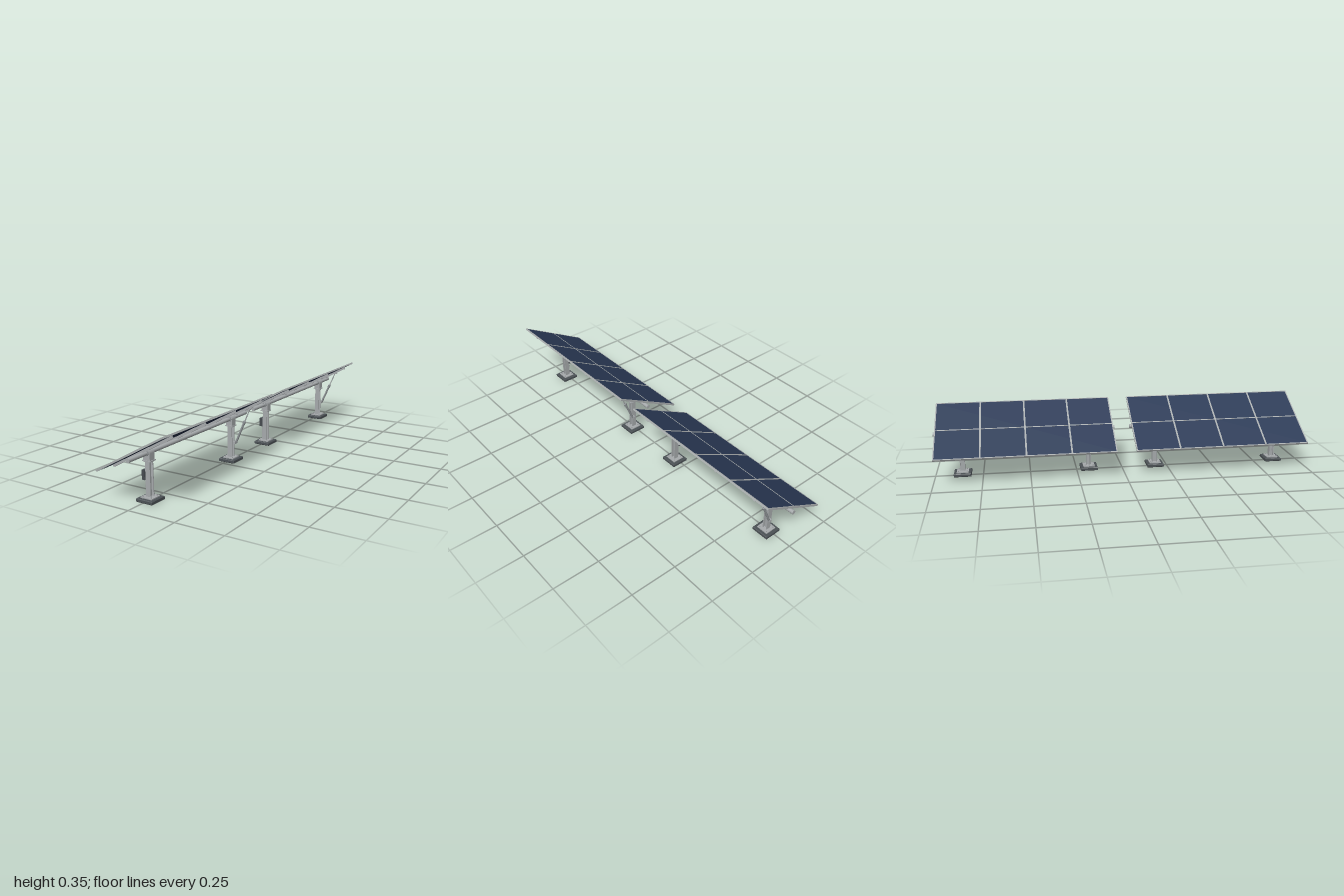
import * as THREE from 'three';

const mat = (name, color) => new THREE.MeshStandardMaterial({ name, color });

export function createModel() {
  const steel = mat('galvanised steel', 0xa6aaac);
  const frameGrey = mat('frame aluminium', 0xa9adae);
  const glass = mat('solar glass', 0x2b3a56);
  const back = mat('back sheet', 0x242e46);
  const darkSteel = mat('actuator grey', 0x8f9497);
  const footing = mat('footing grey', 0x4b5155);
  const boxGrey = mat('control box grey', 0x464b50);

  const add = (parent, name, geo, material, x = 0, y = 0, z = 0) => {
    const m = new THREE.Mesh(geo, material);
    m.name = name;
    m.position.set(x, y, z);
    parent.add(m);
    return m;
  };
  const box = (parent, name, material, w, h, d, x, y, z) =>
    add(parent, name, new THREE.BoxGeometry(w, h, d), material, x, y, z);
  const cyl = (r, h, n = 20) => new THREE.CylinderGeometry(r, r, h, n);
  // Cylinder between two points
  const rod = (parent, name, material, a, b, r) => {
    const dir = b.clone().sub(a);
    const m = add(parent, name, cyl(r, dir.length()), material);
    m.position.copy(a).lerp(b, 0.5);
    m.quaternion.setFromUnitVectors(new THREE.Vector3(0, 1, 0), dir.normalize());
    return m;
  };

  const AXIS_Y = 0.229, TILT = THREE.MathUtils.degToRad(29);

  // Tilted table: modules, frame and rails, pivoting on the torque tube
  function makeTable() {
    const g = new THREE.Group();
    g.name = 'panelTable';
    const W = 0.422, L = 0.94, T = 0.009, rim = 0.006, y = 0.022;
    box(g, 'backSheet', back, W - 2 * rim, 0.004, L - 2 * rim, 0, y - 0.002, 0);
    box(g, 'glass', glass, W - 2 * rim, 0.0035, L - 2 * rim, 0, y + 0.0018, 0);
    for (const s of [-1, 1]) {
      box(g, 'frameLong', frameGrey, rim, T, L, s * (W - rim) / 2, y, 0);
      box(g, 'frameShort', frameGrey, W - 2 * rim, T, rim, 0, y, s * (L - rim) / 2);
    }
    // Seams between the modules
    box(g, 'seamLong', frameGrey, 0.006, 0.002, L - 2 * rim, 0, y + 0.0035, 0);
    for (const k of [-1, 0, 1])
      box(g, 'seamCross', frameGrey, W - 2 * rim, 0.002, 0.009, 0, y + 0.0035, k * 0.2345);
    for (const z of [-0.375, -0.127, 0.127, 0.375])
      box(g, 'rail', steel, 0.381, 0.0125, 0.013, 0, y - 0.0098, z);
    g.rotation.z = TILT;
    return g;
  }

  // Arch-topped bearing housing outline
  const arch = new THREE.Shape();
  arch.moveTo(-0.0185, -0.035);
  arch.lineTo(0.0185, -0.035);
  arch.lineTo(0.0185, 0);
  arch.absarc(0, 0, 0.0185, 0, Math.PI, false);
  arch.lineTo(-0.0185, -0.035);
  const bearingGeo = new THREE.ExtrudeGeometry(arch, { depth: 0.034, bevelEnabled: false, curveSegments: 16 });
  bearingGeo.translate(0, 0, -0.017);

  // Square footing with a bevelled edge
  const s = 0.043;
  const square = new THREE.Shape([[-s, -s], [s, -s], [s, s], [-s, s]].map(p => new THREE.Vector2(...p)));
  const footGeo = new THREE.ExtrudeGeometry(square, {
    depth: 0.0115, bevelThickness: 0.003, bevelSize: 0.003, bevelSegments: 1,
  });
  footGeo.rotateX(-Math.PI / 2);
  footGeo.translate(0, 0.003, 0);

  function makePost() {
    const g = new THREE.Group();
    g.name = 'post';
    add(g, 'footing', footGeo, footing);
    box(g, 'basePlate', steel, 0.062, 0.005, 0.062, 0, 0.02, 0);
    for (const x of [-1, 1]) for (const z of [-1, 1])
      add(g, 'bolt', cyl(0.003, 0.007, 6), steel, x * 0.022, 0.0255, z * 0.022);
    // H-section column
    for (const k of [-1, 1])
      box(g, 'flange', steel, 0.026, 0.168, 0.004, 0, 0.105, k * 0.011);
    box(g, 'web', steel, 0.004, 0.168, 0.02, 0, 0.105, 0);
    box(g, 'capPlate', steel, 0.032, 0.004, 0.032, 0, 0.1875, 0);
    box(g, 'bearingPlate', steel, 0.044, 0.005, 0.042, 0, 0.192, 0);
    add(g, 'bearing', bearingGeo, steel, 0, AXIS_Y, 0);
    for (const k of [-1, 1])
      add(g, 'bearingRing', cyl(0.0135, 0.005, 24), darkSteel, 0, AXIS_Y, k * 0.019).rotation.x = Math.PI / 2;
    return g;
  }

  // Control box with its conduit on the low side of a post
  function addControlBox(post) {
    box(post, 'controlBox', boxGrey, 0.017, 0.047, 0.036, -0.0215, 0.1235, 0);
    add(post, 'conduit', cyl(0.0025, 0.08, 10), steel, -0.0215, 0.062, 0);
  }

  // Linear actuator beside a post, reaching up to the table
  function addActuator(post) {
    const z = -0.0235;
    const a = new THREE.Vector3(0.017, 0.096, z), b = new THREE.Vector3(0.105, 0.296, z);
    const at = t => a.clone().lerp(b, t);
    box(post, 'lowerBracket', steel, 0.012, 0.014, 0.026, 0.014, 0.097, -0.019);
    rod(post, 'actuatorBody', darkSteel, at(0.01), at(0.57), 0.0058);
    rod(post, 'actuatorCollar', darkSteel, at(0.53), at(0.6), 0.008);
    rod(post, 'actuatorRod', steel, at(0.58), b, 0.003);
    box(post, 'upperBracket', steel, 0.012, 0.012, 0.02, 0.105, 0.296, z - 0.006).rotation.z = TILT;
  }

  function makeRow() {
    const row = new THREE.Group();
    row.name = 'trackerRow';
    const table = makeTable();
    table.position.y = AXIS_Y;
    row.add(table);
    add(row, 'torqueTube', cyl(0.0105, 0.959, 24), steel, 0, AXIS_Y, 0).rotation.x = Math.PI / 2;
    for (const k of [-1, 1]) {
      const post = makePost();
      post.position.z = k * 0.337;
      if (k > 0) addControlBox(post);
      else addActuator(post);
      row.add(post);
    }
    return row;
  }

  const model = new THREE.Group();
  model.name = 'solarTracker';
  for (const k of [-1, 1]) {
    const row = makeRow();
    row.position.set(0.0095, 0, k * 0.5205);
    model.add(row);
  }
  return model;
}
